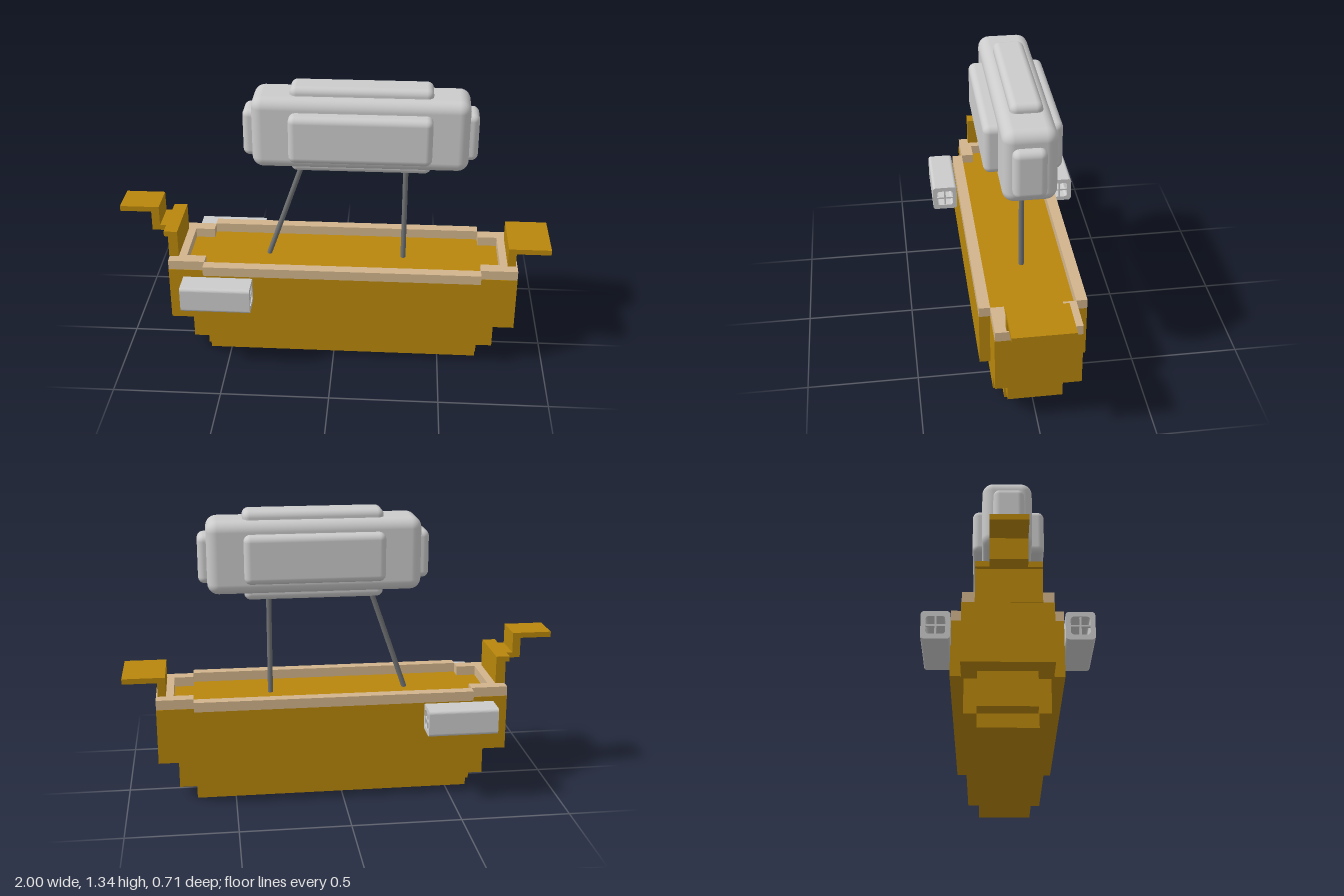
import * as THREE from 'three';
import { RoundedBoxGeometry } from 'three/addons/geometries/RoundedBoxGeometry.js';

const gold = new THREE.MeshStandardMaterial({ color: 0xb8860b });
const tan = new THREE.MeshStandardMaterial({ color: 0xd2b48c });
const grey = new THREE.MeshStandardMaterial({ color: 0xcccccc });
const darkGrey = new THREE.MeshStandardMaterial({ color: 0x707274 });

// Box given by its extents; a radius rounds its edges
function block(parent, name, material, [x0, x1], [y0, y1], [z0, z1], radius = 0) {
  const size = [x1 - x0, y1 - y0, z1 - z0];
  const geometry = radius
    ? new RoundedBoxGeometry(...size, 4, radius)
    : new THREE.BoxGeometry(...size);
  const mesh = new THREE.Mesh(geometry, material);
  mesh.name = name;
  mesh.position.set((x0 + x1) / 2, (y0 + y1) / 2, (z0 + z1) / 2);
  parent.add(mesh);
  return mesh;
}

function group(parent, name) {
  const g = new THREE.Group();
  g.name = name;
  parent.add(g);
  return g;
}

// Rounded rectangle outline centred on the origin
function roundedRect(target, w, h, r) {
  const x = w / 2, y = h / 2;
  target.absarc(x - r, y - r, r, 0, Math.PI / 2);
  target.absarc(-x + r, y - r, r, Math.PI / 2, Math.PI);
  target.absarc(-x + r, -y + r, r, Math.PI, Math.PI * 1.5);
  target.absarc(x - r, -y + r, r, Math.PI * 1.5, Math.PI * 2);
  target.closePath();
  return target;
}

// Round rod between two points
function rod(parent, name, from, to, radius) {
  const a = new THREE.Vector3(...from), b = new THREE.Vector3(...to);
  const mesh = new THREE.Mesh(new THREE.CylinderGeometry(radius, radius, a.distanceTo(b), 16), darkGrey);
  mesh.name = name;
  mesh.position.copy(a).add(b).multiplyScalar(0.5);
  mesh.quaternion.setFromUnitVectors(new THREE.Vector3(0, 1, 0), b.sub(a).normalize());
  parent.add(mesh);
}

function buildHull(parent) {
  const hull = group(parent, 'hull');
  block(hull, 'keel', gold, [-0.6, 0.68], [0, 0.06], [-0.125, 0.125]);
  block(hull, 'lowerHull', gold, [-0.68, 0.76], [0.06, 0.21], [-0.125, 0.12]);
  block(hull, 'upperHull', gold, [-0.77, 0.85], [0.21, 0.47], [-0.19, 0.185]);
  for (const [name, s] of [['left', 1], ['right', -1]].map(([n, v]) => [n === 'left' ? 'front' : 'back', v])) {
    const span = (a, b) => (s > 0 ? [a, b] : [-b - 0.005, -a - 0.005]);
    block(hull, name + 'LowerSide', gold, [-0.6, 0.68], [0.06, 0.22], span(0.12, 0.175));
    block(hull, name + 'UpperSide', gold, [-0.6, 0.68], [0.22, 0.47], span(0.18, 0.232));
    // Rim along the side, stepping inwards at both ends
    block(hull, name + 'Rim', tan, [-0.6, 0.68], [0.47, 0.515], span(0.183, 0.232));
    block(hull, name + 'RimBowStep', tan, [-0.69, -0.6], [0.47, 0.515], span(0.125, 0.183));
    block(hull, name + 'RimSternStep', tan, [0.68, 0.77], [0.47, 0.515], span(0.125, 0.183));
  }
  block(hull, 'bowRim', tan, [-0.77, -0.69], [0.47, 0.515], [-0.188, 0.183]);
  block(hull, 'sternRim', tan, [0.77, 0.85], [0.47, 0.515], [-0.188, 0.183]);
}

function buildEnds(parent) {
  // Stepped figure at the bow
  const bow = group(parent, 'bow');
  block(bow, 'bowPost', gold, [-0.772, -0.727], [0.47, 0.62], [-0.136, 0.138]);
  block(bow, 'bowStep', gold, [-0.79, -0.727], [0.62, 0.645], [-0.136, 0.138]);
  block(bow, 'bowNeck', gold, [-0.855, -0.79], [0.62, 0.645], [-0.078, 0.078]);
  block(bow, 'bowRiser', gold, [-0.855, -0.818], [0.645, 0.715], [-0.078, 0.078]);
  block(bow, 'bowPlate', gold, [-1, -0.818], [0.715, 0.74], [-0.078, 0.078]);

  // Raised platform at the stern
  const stern = group(parent, 'stern');
  block(stern, 'sternPost', gold, [0.805, 0.842], [0.47, 0.58], [-0.134, 0.134]);
  block(stern, 'sternPlate', gold, [0.805, 1], [0.58, 0.605], [-0.134, 0.134]);
}

function buildBalloon(parent) {
  const balloon = group(parent, 'balloon');
  block(balloon, 'balloonBody', grey, [-0.37, 0.6], [0.97, 1.305], [-0.115, 0.115], 0.05);
  block(balloon, 'sidePanels', grey, [-0.2, 0.435], [1.025, 1.247], [-0.16, 0.176], 0.03);
  block(balloon, 'topAndBottomPanels', grey, [-0.2, 0.435], [0.935, 1.343], [-0.076, 0.064], 0.03);
  block(balloon, 'endPanels', grey, [-0.412, 0.64], [1.015, 1.237], [-0.064, 0.078], 0.03);

  rod(parent, 'bowPole', [-0.316, 0.47, 0], [-0.143, 0.97, 0], 0.012);
  rod(parent, 'sternPole', [0.322, 0.47, 0], [0.322, 0.97, 0], 0.012);
}

// Hollow side engine with crossed bars at each open end
function buildEngine(parent, name, z) {
  const engine = group(parent, name);
  const length = 0.32;
  const shape = roundedRect(new THREE.Shape(), 0.121, 0.123, 0.015);
  shape.holes.push(roundedRect(new THREE.Path(), 0.08, 0.08, 0.014));
  const geometry = new THREE.ExtrudeGeometry(shape, { depth: length, bevelEnabled: false, curveSegments: 6 });
  geometry.translate(0, 0, -length / 2).rotateY(Math.PI / 2);
  const casing = new THREE.Mesh(geometry, grey);
  casing.name = 'engineCasing';
  engine.add(casing);
  for (const x of [-0.153, 0.153]) {
    block(engine, 'uprightBar', grey, [x - 0.005, x + 0.005], [-0.042, 0.042], [-0.004, 0.004]);
    block(engine, 'crossBar', grey, [x - 0.005, x + 0.005], [-0.004, 0.004], [-0.042, 0.042]);
  }
  engine.position.set(-0.53, 0.407, z);
}

export function createModel() {
  const model = new THREE.Group();
  model.name = 'airship';
  buildHull(model);
  buildEnds(model);
  buildBalloon(model);
  buildEngine(model, 'frontEngine', 0.292);
  buildEngine(model, 'backEngine', -0.295);
  return model;
}
